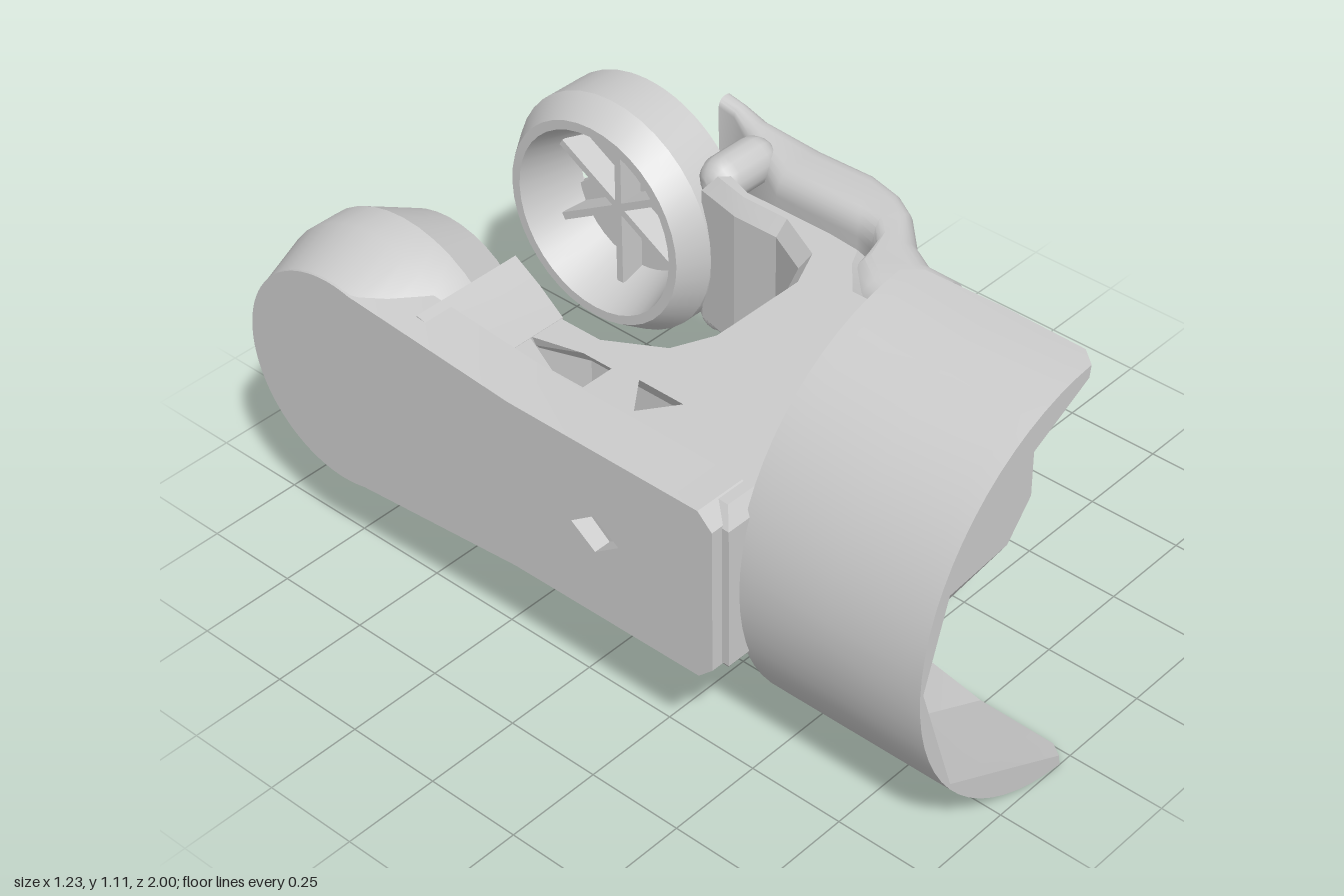
import * as THREE from 'three';
import { toCreasedNormals } from 'three/addons/utils/BufferGeometryUtils.js';

const MID = 0.555; // height of the symmetry plane
const WHEEL_Z = -0.665;
const V = (p) => p.map(([x, y]) => new THREE.Vector2(x, y));

export function createModel() {
  const model = new THREE.Group();
  const body = new THREE.Group();
  body.position.y = MID;
  model.add(body);
  const mat = new THREE.MeshStandardMaterial({ color: 0xcccccc, side: THREE.DoubleSide });

  const add = (name, geo, crease = 0.5) => {
    const mesh = new THREE.Mesh(toCreasedNormals(geo, crease), mat);
    mesh.name = name;
    body.add(mesh);
    return mesh;
  };

  // Skin over rings of [x, y, z] points (counter-clockwise from +z), closed at both ends
  const dist = (a, b) => Math.hypot(a[0] - b[0], a[1] - b[1], a[2] - b[2]);
  const loft = (rings) => {
    const pos = [];
    const n = rings[0].length;
    const tri = (a, b, c) => pos.push(...a, ...b, ...c);
    for (let k = 0; k + 1 < rings.length; k++) {
      for (let i = 0; i < n; i++) {
        const j = (i + 1) % n, a = rings[k], b = rings[k + 1];
        if (dist(a[i], b[j]) < dist(a[j], b[i])) {
          tri(a[i], a[j], b[j]);
          tri(a[i], b[j], b[i]);
        } else {
          tri(a[i], a[j], b[i]);
          tri(a[j], b[j], b[i]);
        }
      }
    }
    const first = rings[0], last = rings[rings.length - 1];
    for (const [a, b, c] of THREE.ShapeUtils.triangulateShape(V(first), [])) tri(first[a], first[c], first[b]);
    for (const [a, b, c] of THREE.ShapeUtils.triangulateShape(V(last), [])) tri(last[a], last[b], last[c]);
    const geo = new THREE.BufferGeometry();
    geo.setAttribute('position', new THREE.Float32BufferAttribute(pos, 3));
    geo.computeVertexNormals();
    return geo;
  };
  const atZ = (pts, z) => pts.map(([x, y]) => [x, y, z]);
  const mirrored = (pts) => [...pts, ...pts.filter((p) => p[1] !== 0).reverse().map(([x, y]) => [x, -y])];

  // Curved shield: round outside, faceted inside, tips trimmed at the corners
  const shieldRing = (z, trim, inner) => {
    const ring = [];
    for (let i = 0; i <= 32; i++) {
      const a = Math.PI / 2 + trim + (Math.PI - 2 * trim) * i / 32;
      ring.push([0.557 * Math.cos(a), 0.555 * Math.sin(a)]);
    }
    return atZ([...ring, ...mirrored([[-0.005 - 0.55 * trim, -0.538 + 0.2 * trim], ...inner])], z);
  };
  const lip = [[-0.22, -0.435], [-0.44, -0.325], [-0.547, 0]];
  const floor = [[-0.07, -0.37], [-0.24, -0.2], [-0.44, 0]];
  const nearFloor = floor.map(([x, y], i) => [x + (lip[i][0] - x) * 0.16, y + (lip[i][1] - y) * 0.16]);
  add('shield', loft([
    shieldRing(0.5, 0.07, floor), shieldRing(0.54, 0.01, nearFloor), shieldRing(0.75, 0, lip),
    shieldRing(0.96, 0.01, lip), shieldRing(1, 0.07, lip),
  ]), 0.3);

  // Faceted cap on the front of the body
  add('frontCap', loft([
    atZ(mirrored([[-0.4, 0], [-0.22, -0.13], [-0.05, -0.24], [0.24, -0.23], [0.3, -0.16]]), 0.5),
    atZ(mirrored([[-0.45, 0], [-0.26, -0.19], [-0.07, -0.38], [0.27, -0.235], [0.297, -0.17]]), 0.6),
    atZ(mirrored([[-0.25, 0], [-0.15, -0.17], [-0.04, -0.255], [0.17, -0.235], [0.25, -0.14]]), 0.67),
  ]), 0.25);

  // Chamfered body and fork in plan, with two slots on the long-arm side
  const plan = V([
    [-0.55, -0.42], [-0.26, -0.42], [-0.29, -0.25], [-0.29, -0.12], [-0.22, 0], [-0.13, 0.04],
    [0.13, 0.04], [0.22, 0], [0.28, -0.12], [0.28, -0.25], [0.31, -0.38], [0.4, -0.38],
    [0.36, -0.25], [0.36, 0], [0.35, 0.11], [0.29, 0.14], [0.22, 0.2], [0.22, 0.34],
    [0.25, 0.51], [-0.59, 0.51],
  ].map(([x, z]) => [x, -z]));
  const fork = new THREE.Shape(plan);
  for (const hole of [
    [[-0.41, -0.28], [-0.35, -0.11], [-0.35, 0.01], [-0.5, 0.01], [-0.5, -0.12]],
    [[-0.35, 0.015], [-0.35, 0.22], [-0.5, 0.12]],
  ]) fork.holes.push(new THREE.Path(V(hole.map(([x, z]) => [x, -z]))));
  add('body', new THREE.ExtrudeGeometry(fork, {
    depth: 0.37, bevelThickness: 0.04, bevelSize: 0.03, bevelOffset: -0.03, bevelSegments: 1,
  }).translate(0, 0, -0.185).rotateX(-Math.PI / 2), 0.2);

  // Neck flaring from the fork into the long-arm wheel
  const block = (x0, x1, h, z) => atZ([[x0, -h], [x1, -h], [x1, h], [x0, h]], z);
  add('longArmNeck', loft([
    block(-0.56, -0.25, 0.262, -0.44), block(-0.56, -0.275, 0.24, -0.34), block(-0.56, -0.315, 0.226, -0.23),
  ]), 0.3);

  // Plates cut in side profile (shape x runs to the back)
  const sidePlate = (name, shape, hole, x, depth) => {
    shape.holes.push(new THREE.Path(V(hole)));
    add(name, new THREE.ExtrudeGeometry(shape, { depth, bevelEnabled: false, curveSegments: 32 })
      .rotateY(Math.PI / 2).translate(x, 0, 0));
  };
  const diamond = (x, w, h) => [[x - w, 0], [x, h], [x + w, 0], [x, -h]];

  const armSide = new THREE.Shape();
  armSide.moveTo(-0.49, 0.19);
  armSide.lineTo(-0.49, -0.19);
  armSide.lineTo(-0.45, -0.228);
  armSide.lineTo(0.1, -0.23);
  armSide.absarc(-WHEEL_Z, 0, 0.28, -Math.PI / 2 - 0.25, Math.PI / 2 + 0.25, false);
  armSide.lineTo(0.1, 0.23);
  armSide.lineTo(-0.45, 0.228);
  sidePlate('longArm', armSide, diamond(-0.15, 0.07, 0.05), -0.62, 0.14);

  const disc = new THREE.Shape();
  disc.absarc(-WHEEL_Z, 0, 0.32, 0, Math.PI * 2, false);
  sidePlate('shortArmDiscPlate', disc, diamond(0.885, 0.085, 0.065), 0.39, 0.04);

  // Hollow wheels: profile points are [radius, x]
  const wheel = (name, profile) => add(name, new THREE.LatheGeometry(V(profile), 40)
    .rotateZ(-Math.PI / 2).translate(0, 0, WHEEL_Z), 0.4);
  wheel('longArmWheel', [
    [0, -0.615], [0.28, -0.615], [0.33, -0.47], [0.33, -0.38], [0.26, -0.24],
    [0.23, -0.24], [0.2, -0.45], [0, -0.45],
  ]);
  wheel('shortArmRim', [[0.2, 0.4], [0.25, 0.23], [0.275, 0.23], [0.322, 0.3], [0.322, 0.428]]);

  // Ribs inside the wheels
  const ribs = (name, count, x, depth, radius) => {
    for (let i = 0; i < count; i++) {
      const rib = add(name, new THREE.BoxGeometry(depth, 0.02, radius).translate(0, 0, radius / 2));
      rib.position.set(x, 0, WHEEL_Z);
      rib.rotation.x = (i + 0.5) * Math.PI * 2 / count;
    }
  };
  ribs('longArmWheelRib', 4, -0.41, 0.1, 0.21);
  ribs('shortArmDiscRib', 6, 0.36, 0.08, 0.22);

  // Outer shell of the short arm: rounded sections between an inner and an outer edge
  const section = ([xi, zi, xo, zo, half = 0.225], inset = 0) => {
    const w = Math.hypot(xo - xi, zo - zi), h = half - inset;
    const r = Math.min(0.06, w / 2 - inset - 0.002);
    const ring = [];
    [[1, 1], [-1, 1], [-1, -1], [1, -1]].forEach(([sx, sy], q) => {
      for (let i = 0; i <= 5; i++) {
        const a = (q + i / 5) * Math.PI / 2;
        const u = 0.5 + (sx * (w / 2 - inset - r) + r * Math.cos(a)) / w;
        ring.push([xi + (xo - xi) * u, sy * (h - r) + r * Math.sin(a), zi + (zo - zi) * u]);
      }
    });
    return ring;
  };
  const front = [0.21, 0.33, 0.412, 0.33];
  add('shortArmShell', loft([
    ...[
      [0.56, -0.55, 0.61, -0.55, 0.25], [0.56, -0.5, 0.61, -0.5, 0.24], [0.53, -0.43, 0.612, -0.43],
      [0.43, -0.25, 0.612, -0.25], [0.43, 0, 0.612, -0.1], [0.41, 0.06, 0.59, 0],
      [0.36, 0.1, 0.55, 0.07], [0.27, 0.11, 0.46, 0.16], [0.22, 0.18, 0.415, 0.24], front,
    ].map((e) => section(e)),
    section(front, 0.026), section([0.235, 0.18, 0.412, 0.22], 0.026),
  ]), 0.6);

  // Clips joining the shell to the disc, above and below
  for (const s of [1, -1]) {
    const clip = add('clip', new THREE.CapsuleGeometry(0.06, 0.1, 6, 14).rotateZ(Math.PI / 2), 0.8);
    clip.position.set(0.43, s * 0.19, -0.37);
  }
  return model;
}
